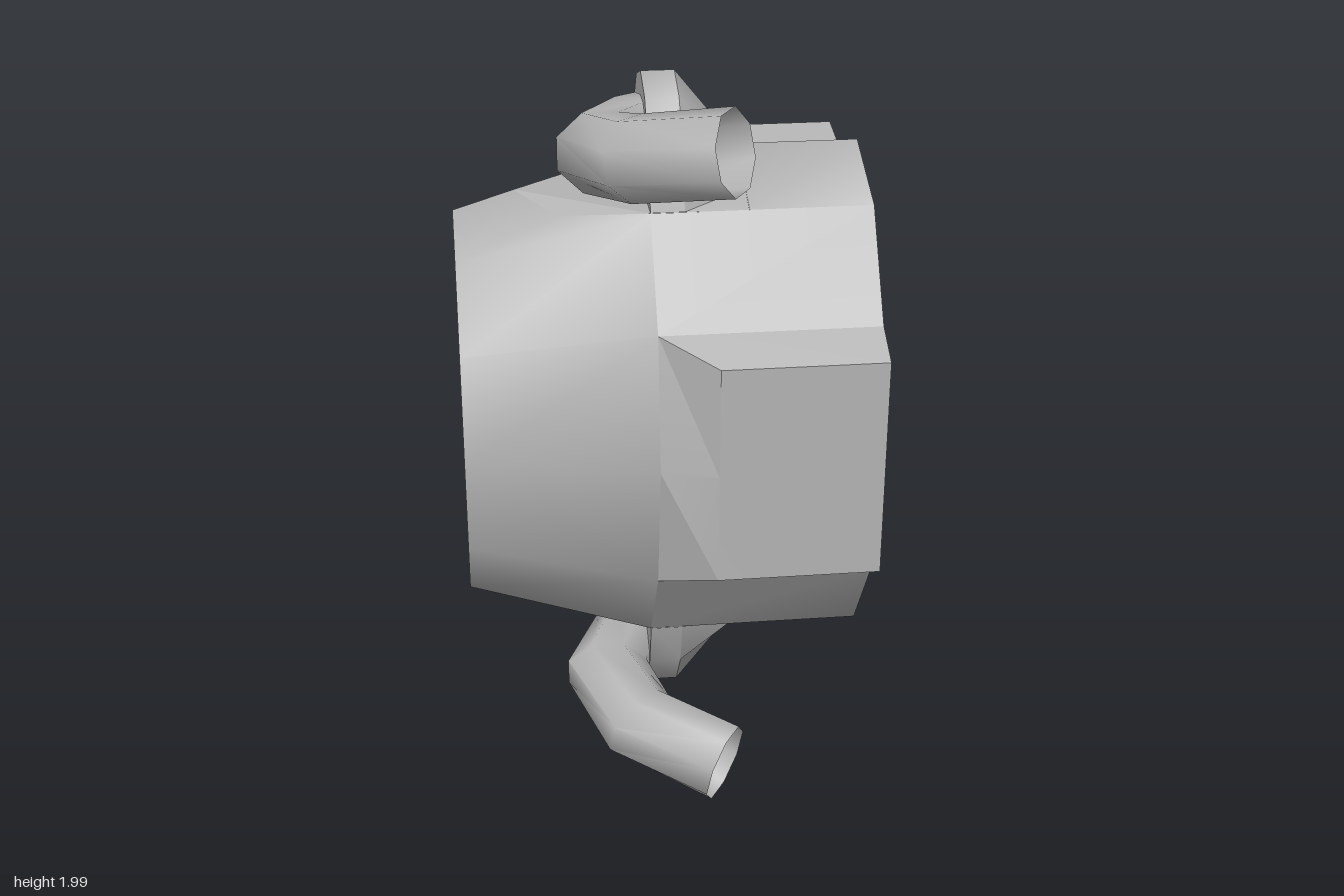
import * as THREE from 'three';
import { toCreasedNormals } from 'three/addons/utils/BufferGeometryUtils.js';

const grey = new THREE.MeshStandardMaterial({ color: 0xb3b3b3, side: THREE.DoubleSide });
grey.name = 'plain grey';

const ZC = -0.08, X_BACK = -0.55, X_MID = -0.04, X_NUB = 0.22, X_FRONT = 0.55;
const V = (x, y, z) => new THREE.Vector3(x, y, z);

// Point on an upright ellipse at station x; 0 degrees is the front, 90 the top
function oval(x, deg, ry, rz) {
  const a = THREE.MathUtils.degToRad(deg);
  return V(x, 1 + ry * Math.sin(a), ZC + rz * Math.cos(a));
}
const body = (x, deg) => oval(x, deg, 0.73, 0.5);
const mouth = (deg) => oval(X_BACK, deg, 0.57, 0.39);
const cone = (t, deg) => mouth(deg).lerp(body(X_MID, deg), t);

// Triangles spanning consecutive rings of points
function loft(rings) {
  const out = [];
  for (let i = 0; i + 1 < rings.length; i++) {
    for (let j = 0; j + 1 < rings[i].length; j++) {
      const a = rings[i][j], b = rings[i][j + 1], c = rings[i + 1][j + 1], d = rings[i + 1][j];
      out.push(a, b, c, a, c, d);
    }
  }
  return out;
}
const fan = (p) => p.slice(2).flatMap((q, i) => [p[0], p[i + 1], q]);

function addMesh(parent, name, points, crease) {
  const geo = new THREE.BufferGeometry().setFromPoints(points);
  const mesh = new THREE.Mesh(toCreasedNormals(geo, crease), grey);
  mesh.name = name;
  parent.add(mesh);
}

// Raised ridge: chamfered from the body at X_MID up to the profile at x1
function addRidge(parent, name, start, x1, ends, crown) {
  const profile = (x) => [body(x, ends[0]), ...crown.map(([y, z]) => V(x, y, z)), body(x, ends[1])];
  addMesh(parent, name, loft([start, profile(x1), profile(X_FRONT)]), 0.3);
}

// Bent pipe with mitred joints
function pipe(path, radius, sides) {
  const up = V(0, 1, 0);
  const rings = path.map((p, i) => {
    const into = p.clone().sub(path[Math.max(i - 1, 0)]).normalize();
    const away = path[Math.min(i + 1, path.length - 1)].clone().sub(p).normalize();
    const t = into.clone().add(away).normalize();
    const bend = Math.max(t.dot(into), t.dot(away));
    const side = V(0, 0, 0).crossVectors(up, t).normalize();
    const top = V(0, 0, 0).crossVectors(t, side);
    return Array.from({ length: sides + 1 }, (_, k) => {
      const a = ((k % sides) + 0.5) / sides * Math.PI * 2;
      return p.clone().addScaledVector(side, Math.cos(a) * radius / bend)
        .addScaledVector(top, Math.sin(a) * radius);
    });
  });
  return loft(rings);
}

// Hollow nub with its bent pipe and the flat seat in the cone
function makePort() {
  const port = new THREE.Group();

  const arch = [[0.25, 1.633], [0.21, 1.77], [0.11, 1.9], [0, 1.94], [-0.11, 1.9], [-0.21, 1.77], [-0.25, 1.633]];
  const archAt = (x) => arch.map(([z, y]) => V(x, y, ZC + z));
  const foot = arch.map(([z, y], i) => {
    const off = 0.25 * (1 - i / 3);
    return V(X_NUB, 1.73 - 0.1 * Math.abs(off) / 0.25, ZC + off);
  });
  const shoulder = archAt(0.05);
  addMesh(port, 'nubTop', loft([archAt(X_MID), shoulder]), 0.8);
  addMesh(port, 'nubSlope', loft([shoulder, foot]), 0.6);
  addMesh(port, 'nubFace', fan(archAt(X_MID)), 0.3);

  const a = cone(0.324, 90);
  const b = [60, 120].map((d) => cone(0.539, 90).lerp(cone(0.539, d), 0.667));
  const c = [60, 120].map((d) => body(X_MID, d));
  addMesh(port, 'seat', fan([a, b[0], c[0], c[1], b[1]]), 0.3);

  const path = [V(-0.03, 1.77, -0.07), V(-0.08, 1.77, -0.04), V(-0.165, 1.79, 0.135),
    V(-0.09, 1.84, 0.335), V(0.135, 1.895, 0.475)];
  addMesh(port, 'pipe', pipe(path, 0.112, 8), 1.1);
  return port;
}

export function createModel() {
  const model = new THREE.Group();
  model.name = 'barrelHousing';

  // Body and cone facets; ridge and port areas are left open
  const shell = [], taper = [];
  for (let k = 0; k < 12; k++) {
    const d0 = k * 30, d1 = ((k + 1) % 12) * 30;
    const atPort = [2, 3, 8, 9].includes(k);
    if (![0, 11, 4, 7].includes(k)) {
      const x0 = atPort ? X_NUB : X_MID;
      shell.push(...loft([[body(x0, d0), body(x0, d1)], [body(X_FRONT, d0), body(X_FRONT, d1)]]));
    }
    if (!atPort) {
      taper.push(...loft([[mouth(d0), mouth(d1)], [body(X_MID, d0), body(X_MID, d1)]]));
    } else {
      const crestFirst = d0 % 180 === 90;
      const crest = crestFirst ? d0 : d1, edge = crestFirst ? d1 : d0;
      const poly = [mouth(edge), mouth(crest), cone(0.324, crest),
        cone(0.539, crest).lerp(cone(0.539, edge), 0.667), body(X_MID, edge)];
      if (crestFirst) poly.reverse();
      // start the fan at the outer edge and keep one winding direction
      const p = crestFirst ? [poly[4], ...poly.slice(0, 4)] : poly;
      taper.push(...fan(p));
    }
  }
  addMesh(model, 'bodyShell', shell, 0.8);
  addMesh(model, 'cone', taper, 0.8);

  // Rim with a closed tapering recess
  const ring = (x, ry, rz) => Array.from({ length: 13 }, (_, k) => oval(x, (k % 12) * 30, ry, rz));
  addMesh(model, 'rimAndRecess', loft([ring(X_BACK, 0.57, 0.39), ring(X_BACK, 0.495, 0.335),
    ring(-0.05, 0.385, 0.265), ring(-0.05, 0, 0)]), 0.8);

  // Front panel
  const m = (d) => body(X_MID, d);
  addRidge(model, 'frontPanel', [m(30), m(30), m(0), m(-30), m(-30)], 0.11, [30, -30],
    [[1.31, 0.46], [1, 0.46], [0.69, 0.46]]);

  // Two rear ridges
  for (const s of [1, -1]) {
    const d0 = s * 150, d1 = s * 120;
    addRidge(model, s > 0 ? 'upperRearRidge' : 'lowerRearRidge', [m(d0), m(d0), m(d1), m(d1)], 0.075,
      [d0, d1], [[1 + s * 0.53, -0.555], [1 + s * 0.655, -0.465]]);
  }

  // Ports above and below
  const top = makePort();
  top.name = 'upperPort';
  const bottom = makePort();
  bottom.name = 'lowerPort';
  bottom.scale.y = -1;
  bottom.position.y = 2;
  model.add(top, bottom);
  return model;
}
